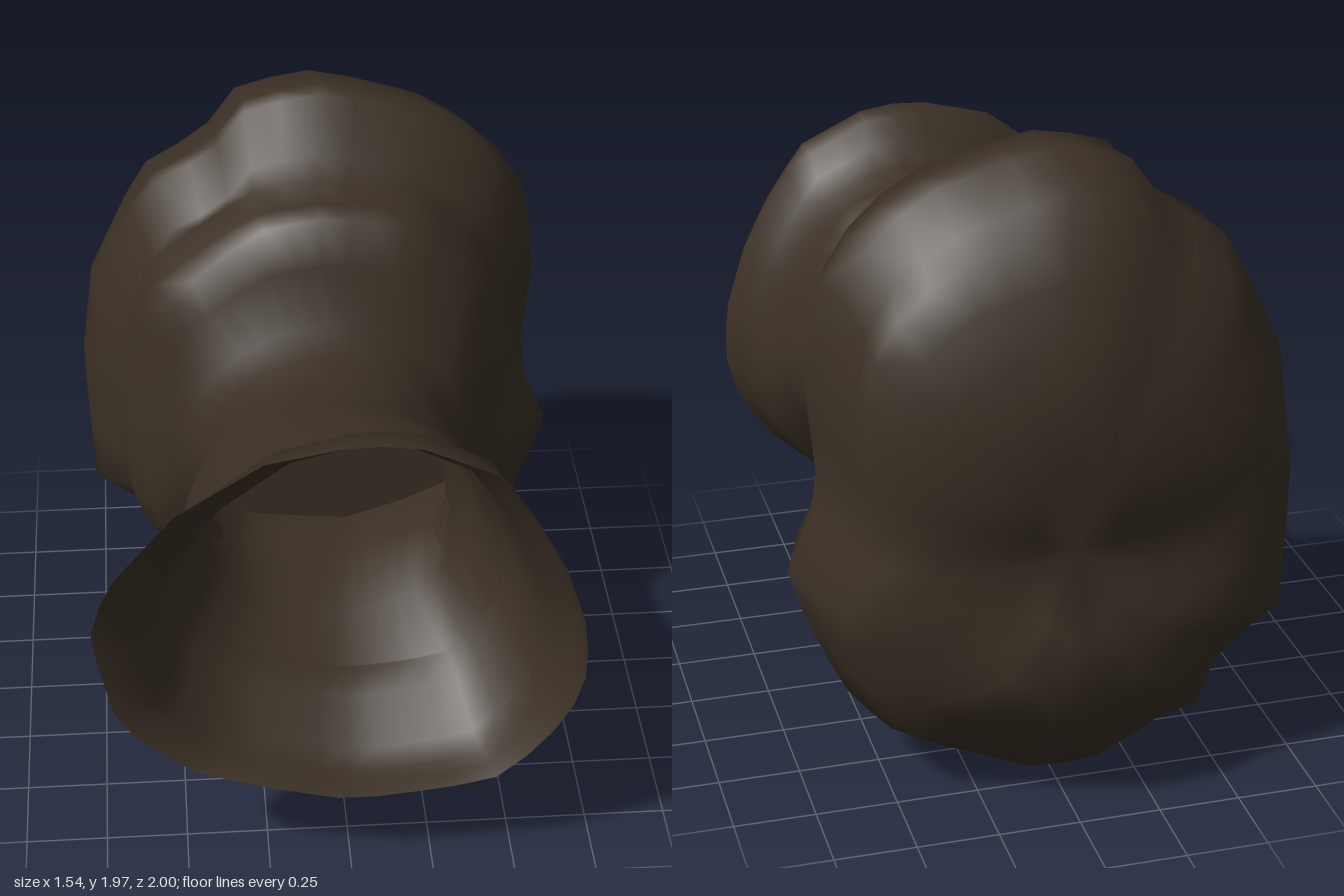
import * as THREE from 'three';

const SIDES = 40;

// Outlines as [x, y], clockwise from the top
const RIM = [
  [0, 1.63], [0.16, 1.62], [0.39, 1.51], [0.5, 1.35], [0.59, 1.18], [0.67, 0.93], [0.67, 0.7], [0.56, 0.5], [0.43, 0.375],
  [0.28, 0.34], [0, 0.31], [-0.24, 0.36], [-0.47, 0.43], [-0.68, 0.61], [-0.75, 0.95], [-0.7, 1.13], [-0.5, 1.39], [-0.25, 1.57],
];
const SHOULDER = [
  [0, 1.77], [0.3, 1.73], [0.5, 1.52], [0.6, 1.2], [0.56, 0.97], [0.57, 0.65], [0.42, 0.42], [0, 0.34],
  [-0.42, 0.4], [-0.62, 0.62], [-0.64, 0.97], [-0.6, 1.22], [-0.56, 1.48], [-0.32, 1.67], [-0.2, 1.74],
];
const BULB = [
  [0.02, 1.98], [0.34, 1.89], [0.46, 1.82], [0.56, 1.73], [0.66, 1.57], [0.695, 1.3], [0.665, 0.97], [0.685, 0.85],
  [0.77, 0.65], [0.6, 0.24], [0.53, 0.19], [0.08, 0], [-0.17, 0.02], [-0.32, 0.13], [-0.47, 0.15], [-0.55, 0.36],
  [-0.76, 0.48], [-0.78, 0.97], [-0.735, 1.3], [-0.56, 1.66], [-0.35, 1.78], [-0.23, 1.94],
];
const HOLE = [
  [0.03, 1.37], [0.14, 1.35], [0.28, 1.25], [0.31, 1.1], [0.39, 0.77], [0.24, 0.7], [0.06, 0.64],
  [-0.25, 0.67], [-0.41, 0.8], [-0.38, 0.97], [-0.34, 1.2], [-0.2, 1.32],
];
const ROUND = Array.from({ length: SIDES }, (_, i) => {
  const a = (i / SIDES) * Math.PI * 2;
  return [Math.sin(a), Math.cos(a)];
});

// Scale an outline to a -1..1 box, then sample it at equal angles
function sample(points) {
  const fit = (k) => {
    const v = points.map((p) => p[k]);
    const lo = Math.min(...v), hi = Math.max(...v);
    return v.map((n) => ((n - lo) / (hi - lo)) * 2 - 1);
  };
  const x = fit(0), y = fit(1), n = points.length;
  return ROUND.map(([dx, dy]) => {
    let reach = 0;
    for (let i = 0; i < n; i++) {
      const j = (i + 1) % n;
      const ex = x[j] - x[i], ey = y[j] - y[i];
      const det = dx * ey - dy * ex;
      if (Math.abs(det) < 1e-9) continue;
      const t = (x[i] * ey - y[i] * ex) / det;
      const u = (x[i] * dy - y[i] * dx) / det;
      if (u > -1e-6 && u < 1 + 1e-6) reach = Math.max(reach, t);
    }
    return [dx * reach, dy * reach];
  });
}
const rim = sample(RIM), shoulder = sample(SHOULDER), bulb = sample(BULB), hole = sample(HOLE), round = ROUND;

// Cross-sections from mouth to back: z, xMin, xMax, yMin, yMax, outline
const FUNNEL = [
  [0.99, -0.76, 0.68, 0.31, 1.63, rim],
  [0.91, -0.69, 0.65, 0.32, 1.62, rim],
  [0.86, -0.63, 0.62, 0.325, 1.54, rim],
  [0.78, -0.58, 0.58, 0.35, 1.48, rim],
  [0.67, -0.55, 0.53, 0.47, 1.48, rim],
  [0.56, -0.51, 0.5, 0.48, 1.45, rim],
  [0.45, -0.48, 0.44, 0.52, 1.4, round],
];
const NECK = [
  [0.3, -0.43, 0.41, 0.56, 1.38, round],
  [0.17, -0.42, 0.39, 0.57, 1.38, round],
  [0.07, -0.46, 0.43, 0.56, 1.42, round],
  [0.03, -0.52, 0.46, 0.54, 1.62, shoulder],
];
const BODY = [
  [-0.05, -0.58, 0.53, 0.36, 1.74, shoulder],
  [-0.12, -0.64, 0.59, 0.34, 1.755, shoulder],
  [-0.23, -0.66, 0.6, 0.32, 1.77, shoulder],
  [-0.29, -0.68, 0.64, 0.2, 1.83, bulb],
  [-0.4, -0.75, 0.73, 0.11, 1.98, bulb],
  [-0.48, -0.77, 0.77, 0.03, 1.98, bulb],
  [-0.57, -0.78, 0.72, 0, 1.98, bulb],
  [-0.7, -0.74, 0.67, 0.02, 1.88, bulb],
  [-0.78, -0.68, 0.66, 0.11, 1.8, bulb],
  [-0.85, -0.59, 0.58, 0.21, 1.68, bulb],
  [-0.91, -0.46, 0.45, 0.29, 1.53, bulb],
  [-0.955, -0.28, 0.29, 0.41, 1.38, bulb],
  [-0.975, -0.13, 0.13, 0.6, 1.18, bulb],
];
// Inner wall of the hollow
const LINER = [
  [0.58, -0.49, 0.48, 0.51, 1.43, rim],
  [0.38, -0.43, 0.41, 0.58, 1.37, round],
  [0.16, -0.41, 0.38, 0.64, 1.37, hole],
  [-0.05, -0.43, 0.4, 0.62, 1.39, hole],
];

// Points [x, y] of a cross-section
const place = ([, x0, x1, y0, y1, outline]) => outline.map(([u, v]) => [
  (x0 + x1) / 2 + (u * (x1 - x0)) / 2,
  (y0 + y1) / 2 + (v * (y1 - y0)) / 2,
]);

// Quads between neighbouring sections
function band(from, to) {
  const index = [];
  for (let s = from; s < to; s++) {
    for (let i = 0; i < SIDES; i++) {
      const j = (i + 1) % SIDES;
      const a = s * SIDES + i, b = s * SIDES + j;
      index.push(a, b, a + SIDES, b, b + SIDES, a + SIDES);
    }
  }
  return index;
}

function surface(positions, index) {
  const geometry = new THREE.BufferGeometry();
  geometry.setAttribute('position', new THREE.Float32BufferAttribute(positions, 3));
  geometry.setIndex(index);
  geometry.computeVertexNormals();
  return geometry;
}

export function createModel() {
  const group = new THREE.Group();
  const bark = new THREE.MeshStandardMaterial({ color: 0x3a2f24, side: THREE.DoubleSide });
  bark.name = 'dark brown';
  const add = (name, geometry) => {
    const mesh = new THREE.Mesh(geometry, bark);
    mesh.name = name;
    group.add(mesh);
    return mesh;
  };

  const sections = [...FUNNEL, ...NECK, ...BODY];
  const positions = [];
  sections.forEach((section, s) => {
    const z = section[0];
    place(section).forEach(([x, y], i) => {
      let depth = z;
      // mouth leans slightly: full depth at the top, set back below and on one side
      if (s === 0) {
        const [u, v] = section[5][i];
        depth = 1 - 0.02 * (1 - v) - 0.04 * Math.max(0, -u);
      }
      // back face has a lower lobe and a shallow waist above it
      if (z < -0.88) {
        depth += 0.07 * Math.exp(-(((y - 0.83) / 0.16) ** 2)) * Math.max(0, 1 - ((x + 0.1) / 0.6) ** 2);
        depth -= 0.06 * Math.exp(-(((y - 0.47) / 0.14) ** 2)) * Math.max(0, 1 - (x / 0.35) ** 2);
        depth = Math.max(depth, -1);
      }
      positions.push(x, y, depth);
    });
  });
  const tip = positions.length / 3;
  positions.push(0, 0.87, -0.905);

  const last = sections.length - 1;
  const neckStart = FUNNEL.length - 1;
  const bodyStart = FUNNEL.length + NECK.length - 1;
  const bodyIndex = band(bodyStart, last);
  for (let i = 0; i < SIDES; i++) {
    bodyIndex.push(last * SIDES + i, last * SIDES + ((i + 1) % SIDES), tip);
  }
  const parts = {
    flaredMouth: band(0, neckStart),
    neck: band(neckStart, bodyStart),
    bulb: bodyIndex,
  };

  // Normals are computed over the whole shell so the parts join smoothly
  const whole = surface(positions, Object.values(parts).flat());
  for (const [name, index] of Object.entries(parts)) {
    add(name, whole.clone().setIndex(index));
  }

  // Hollow inside the neck, with its floor
  const liner = LINER.flatMap((section) => place(section).flatMap(([x, y]) => [x, y, section[0]]));
  add('hollowWall', surface(liner, band(0, LINER.length - 1)));
  const end = LINER[LINER.length - 1];
  const outline = place(end).map(([x, y]) => new THREE.Vector2(x, y));
  add('hollowFloor', new THREE.ShapeGeometry(new THREE.Shape(outline))).position.z = end[0];
  return group;
}
